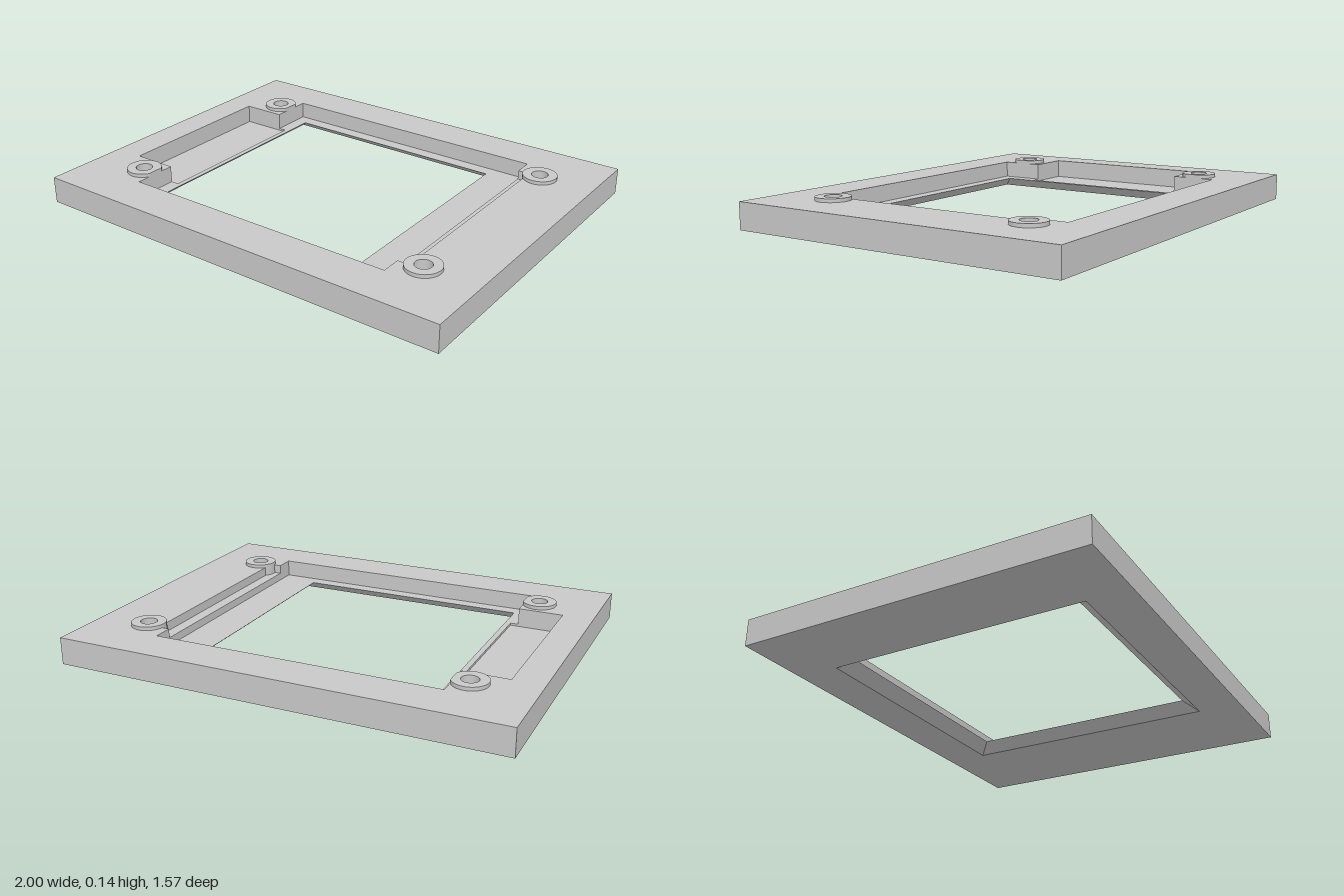
import * as THREE from 'three';

const grey = new THREE.MeshStandardMaterial({ color: 0xc8c8c8 });
grey.name = 'plain grey';

const HOLE_R = 0.037, BOSS_R = 0.077, BOSS_Z = 0.49;
const LEFT_X = 0.752, RIGHT_X = -0.728;
const POCKET_Y = 0.035, FLOOR_Y = 0.045, SLOT_Y = 0.08, TOP_Y = 0.121, BOSS_Y = 0.137;
const WINDOW_Z = 0.53, CHAMFER = 0.06;

// Counter-clockwise outline, symmetric in z, from [x, halfDepth] points along one side
function symmetric(points, Type = THREE.Path) {
  const near = points.map(([x, z]) => new THREE.Vector2(x, -z));
  const far = points.map(([x, z]) => new THREE.Vector2(x, z)).reverse();
  return new Type([...near, ...far]);
}

function circle(x, z, r) {
  return new THREE.Path().absarc(x, -z, r, 0, Math.PI * 2, true);
}

// Flat slab between two heights
function slab(name, shape, y0, y1) {
  const geo = new THREE.ExtrudeGeometry(shape, { depth: y1 - y0, bevelEnabled: false, curveSegments: 32 });
  geo.rotateX(-Math.PI / 2);
  geo.translate(0, y0, 0);
  const mesh = new THREE.Mesh(geo, grey);
  mesh.name = name;
  return mesh;
}

function plate(name, y0, y1, holes) {
  const shape = symmetric([[-1, 0.783], [1, 0.783]], THREE.Shape);
  shape.holes.push(...holes);
  return slab(name, shape, y0, y1);
}

// Widen the window towards the underside
function chamferWindow(mesh) {
  const p = mesh.geometry.attributes.position;
  for (let i = 0; i < p.count; i++) {
    const x = p.getX(i), z = p.getZ(i);
    if (Math.abs(Math.abs(z) - WINDOW_Z) > 0.001) continue;
    const spread = CHAMFER * (1 - p.getY(i) / FLOOR_Y);
    p.setX(i, x + Math.sign(x) * spread);
    p.setZ(i, z + Math.sign(z) * spread);
  }
  mesh.geometry.computeVertexNormals();
  return mesh;
}

export function createModel() {
  const model = new THREE.Group();
  model.name = 'mountingFrame';

  // Openings in the frame
  const window = symmetric([[-0.599, WINDOW_Z], [0.465, WINDOW_Z]]);
  const pocket = symmetric([[-0.862, 0.392], [-0.624, 0.392]]);
  const recessStart = [[-0.862, 0.392], [-0.66, 0.392], [-0.66, 0.59], [0.642, 0.59]];
  const recess = symmetric(recessStart);
  const recessAndSlot = symmetric([...recessStart, [0.642, 0.5], [0.695, 0.5]]);
  const screwHoles = [];
  for (const x of [LEFT_X, RIGHT_X])
    for (const side of [-1, 1]) screwHoles.push(circle(x, side * BOSS_Z, HOLE_R));

  // Frame built up in steps
  model.add(
    chamferWindow(plate('frameBase', 0, POCKET_Y, [window])),
    chamferWindow(plate('recessFloor', POCKET_Y, FLOOR_Y, [window, pocket])),
    plate('frameMiddle', FLOOR_Y, SLOT_Y, [recess, ...screwHoles]),
    plate('frameTop', SLOT_Y, TOP_Y, [recessAndSlot, ...screwHoles])
  );

  // Screw bosses: round ones standing in the slot, trimmed ones beside the recess
  const trim = Math.acos((-0.66 - RIGHT_X) / BOSS_R);
  for (const side of [-1, 1]) {
    const z = side * BOSS_Z;
    const round = new THREE.Shape().absarc(LEFT_X, -z, BOSS_R, 0, Math.PI * 2, false);
    round.holes.push(circle(LEFT_X, z, HOLE_R));
    model.add(slab('leftBoss', round, SLOT_Y, BOSS_Y));

    const trimmed = new THREE.Shape().absarc(RIGHT_X, -z, BOSS_R, trim, Math.PI * 2 - trim, false);
    trimmed.closePath();
    trimmed.holes.push(circle(RIGHT_X, z, HOLE_R));
    model.add(slab('rightBoss', trimmed, TOP_Y, BOSS_Y));
  }
  return model;
}
